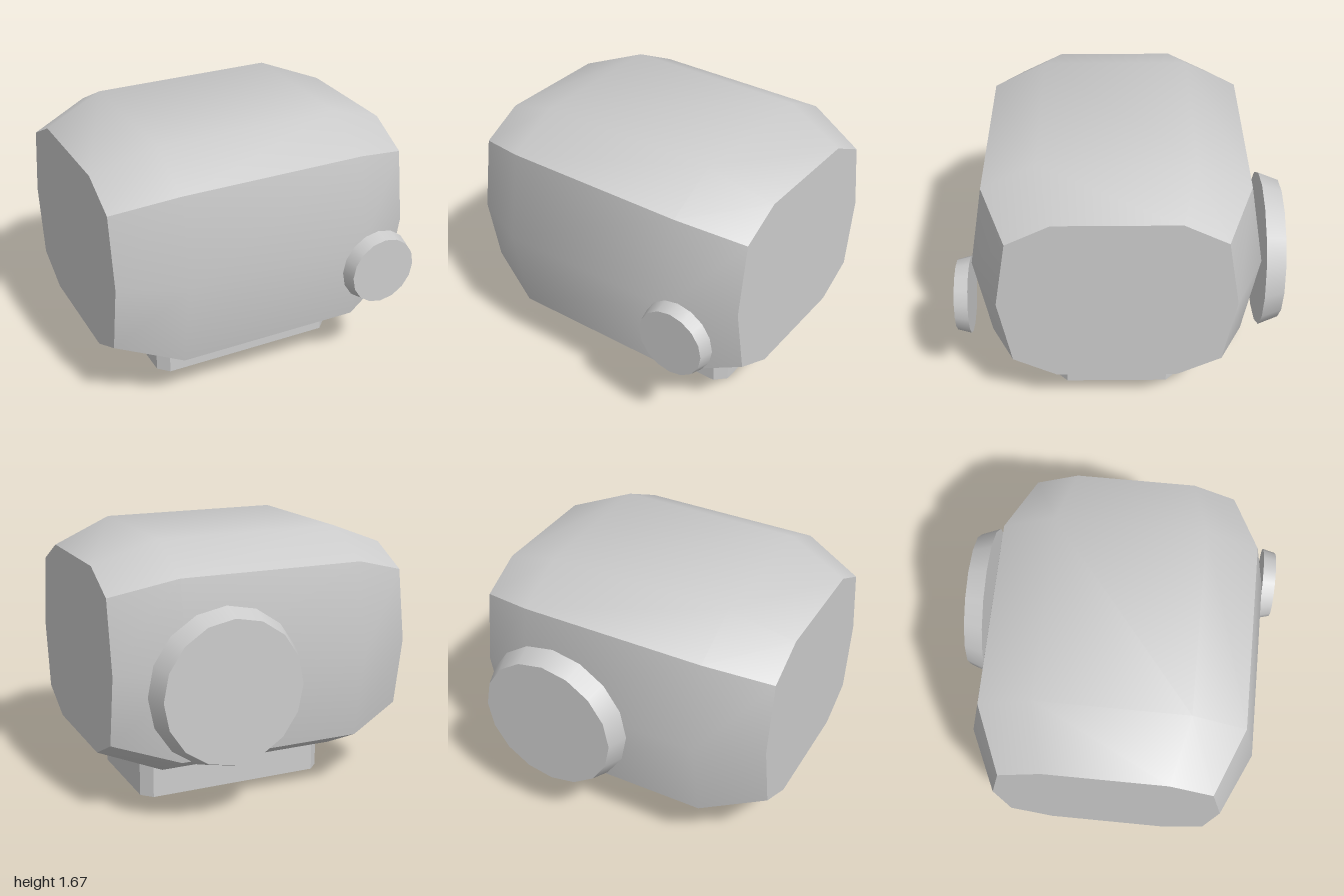
import * as THREE from 'three';
import { toCreasedNormals } from 'three/addons/utils/BufferGeometryUtils.js';

const CREASE = 0.62; // gentle bends stay smooth, sharper ones become edges

// Lofted ten-sided barrel: one cross-section, scaled down at both ends
function bodyGeometry() {
  const quarter = [[0.895, 0], [0.8, 0.56], [0.467, 0.73]];
  const upper = [...quarter, [-0.467, 0.73], [-0.8, 0.56]];
  const section = [...upper, ...upper.map(([z, y]) => [-z, -y])];
  const stations = [[-0.983, 0.8], [-0.592, 1], [0.592, 1], [0.983, 0.8]];
  const n = section.length;
  const pos = [], index = [];
  for (const [x, s] of stations) {
    for (const [z, y] of section) pos.push(x, 0.94 + y * s, 0.02 + z * s);
  }
  for (let i = 0; i < stations.length - 1; i++) {
    for (let k = 0; k < n; k++) {
      const a = i * n + k, b = i * n + (k + 1) % n;
      index.push(a, a + n, b + n, a, b + n, b);
    }
  }
  // Flat end caps
  const last = (stations.length - 1) * n;
  for (let k = 1; k < n - 1; k++) {
    index.push(0, k, k + 1, last, last + k + 1, last + k);
  }
  const g = new THREE.BufferGeometry();
  g.setAttribute('position', new THREE.Float32BufferAttribute(pos, 3));
  g.setIndex(index);
  return toCreasedNormals(g, CREASE);
}

// Block with its four upright corners cut off
function footGeometry(x0, x1, z0, z1, height, cut) {
  const outline = [
    [x0 + cut, -z1], [x1 - cut, -z1], [x1, -z1 + cut], [x1, -z0 - cut],
    [x1 - cut, -z0], [x0 + cut, -z0], [x0, -z0 - cut], [x0, -z1 + cut],
  ].map(([x, y]) => new THREE.Vector2(x, y));
  const g = new THREE.ExtrudeGeometry(new THREE.Shape(outline), { depth: height, bevelEnabled: false });
  return g.rotateX(-Math.PI / 2);
}

export function createModel() {
  const model = new THREE.Group();
  const grey = new THREE.MeshStandardMaterial({ color: 0xcccccc });
  grey.name = 'light grey';

  const add = (name, geometry) => {
    const mesh = new THREE.Mesh(geometry, grey);
    mesh.name = name;
    model.add(mesh);
    return mesh;
  };

  // Tapered disc whose narrow face points along dir (+1 front, -1 back)
  const addDisc = (name, x, y, zInner, dir, rOuter, rInner, depth) => {
    const g = new THREE.CylinderGeometry(rOuter, rInner, depth, 16);
    g.rotateX(dir * Math.PI / 2);
    add(name, g).position.set(x, y, zInner + dir * depth / 2);
  };

  add('body', bodyGeometry());
  add('foot', footGeometry(-0.58, 0.69, -0.37, 0.415, 0.215, 0.067));
  addDisc('frontKnob', 0.69, 0.77, 0.915, 1, 0.218, 0.24, 0.085);
  addDisc('backDisc', 0.347, 0.85, -0.875, -1, 0.442, 0.49, 0.125);

  return model;
}
